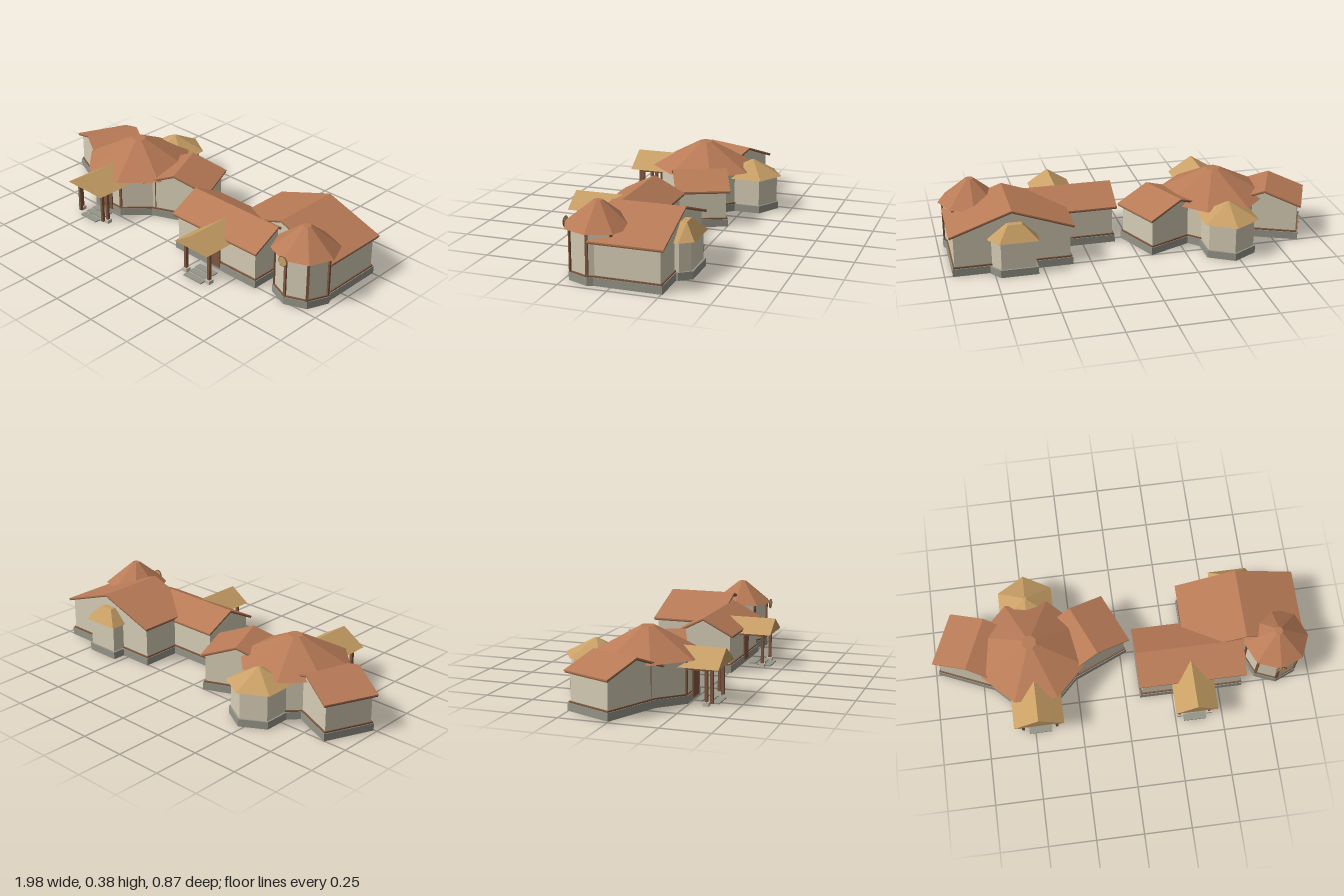
import * as THREE from 'three';
import { ConvexGeometry } from 'three/addons/geometries/ConvexGeometry.js';

const paint = (name, color) => {
  const m = new THREE.MeshStandardMaterial({ color });
  m.name = name;
  return m;
};

export function createModel() {
  const model = new THREE.Group();
  model.name = 'villaCompound';
  const roofMat = paint('terracotta', 0xb97b57);
  const goldMat = paint('goldenThatch', 0xc9a066);
  const wallMat = paint('cream plaster', 0xd6cdb5);
  const woodMat = paint('brown wood', 0x80593f);
  const stoneMat = paint('grey stone', 0x969589);
  const footMat = paint('pale stone', 0xc4beae);

  const BASE = 0.04;

  function add(parent, name, geo, mat, x = 0, y = 0, z = 0) {
    const mesh = new THREE.Mesh(geo, mat);
    mesh.name = name;
    mesh.position.set(x, y, z);
    parent.add(mesh);
    return mesh;
  }
  function box(parent, name, mat, w, y0, y1, d, x, z) {
    return add(parent, name, new THREE.BoxGeometry(w, y1 - y0, d), mat, x, (y0 + y1) / 2, z);
  }
  // Faceted prism or cone; a vertex faces +z when rot is 0
  function prism(parent, name, mat, rBottom, rTop, y0, y1, sides, rot = 0) {
    const indexed = new THREE.CylinderGeometry(rTop, rBottom, y1 - y0, sides, 1, false, rot);
    const geo = indexed.toNonIndexed();
    geo.computeVertexNormals();
    return add(parent, name, geo, mat, 0, (y0 + y1) / 2, 0);
  }
  // Outline in x, y extruded along z and centred
  function extrude(points, length) {
    const shape = new THREE.Shape(points.map(([x, y]) => new THREE.Vector2(x, y)));
    const geo = new THREE.ExtrudeGeometry(shape, { depth: length, bevelEnabled: false });
    return geo.translate(0, 0, -length / 2);
  }
  // Two sloping slabs meeting at a ridge along z
  const chevron = (half, eave, ridge, t, length) => extrude([
    [-half, eave], [-half, eave - t], [0, ridge - t], [half, eave - t], [half, eave], [0, ridge],
  ], length);

  // Gabled wing with its ridge along local z
  function gabledWing(parent, name, o) {
    const g = new THREE.Group();
    g.name = name;
    g.position.set(o.x, 0, o.z);
    g.rotation.y = o.rot;
    parent.add(g);
    const slope = (o.ridge - o.eave) / o.half;
    const w = o.half - 0.022, len = o.length - 0.042;
    const wallTop = o.ridge - slope * w - 0.01;
    add(g, 'walls', extrude([
      [-w, BASE], [w, BASE], [w, wallTop], [0, o.ridge - 0.01], [-w, wallTop],
    ], len), wallMat);
    box(g, 'plinth', stoneMat, 2 * w + 0.022, 0, BASE, len + 0.022, 0, 0);
    box(g, 'plinthTrim', woodMat, 2 * w + 0.014, BASE, BASE + 0.008, len + 0.014, 0, 0);
    add(g, 'roof', chevron(o.half, o.eave, o.ridge, 0.007, o.length), roofMat);
    add(g, 'soffit', chevron(o.half - 0.002, o.eave - 0.006, o.ridge - 0.006, 0.007, o.length - 0.004), woodMat);
    return g;
  }

  // Polygonal room with plinth, optional corner posts and a blunt cone roof
  function polygonRoom(name, o) {
    const g = new THREE.Group();
    g.name = name;
    g.position.set(o.x, 0, o.z);
    model.add(g);
    const rot = o.rot || 0;
    prism(g, 'plinth', stoneMat, o.r + 0.01, o.r + 0.01, 0, BASE, o.sides, rot);
    prism(g, 'walls', wallMat, o.r, o.r, BASE, o.eave + 0.004, o.sides, rot);
    prism(g, 'roof', [o.mat, o.mat, woodMat], o.roofR, o.tip, o.eave, o.top, o.sides, rot);
    if (o.posts) {
      prism(g, 'plinthTrim', woodMat, o.r + 0.006, o.r + 0.006, BASE, BASE + 0.008, o.sides, rot);
      for (let i = 0; i < o.sides; i++) {
        const a = rot + (i / o.sides) * Math.PI * 2;
        const post = box(g, 'cornerPost', woodMat, 0.013, BASE, o.eave, 0.013, Math.sin(a) * o.r, Math.cos(a) * o.r);
        post.rotation.y = a;
      }
    }
    return g;
  }

  // Entrance porch: gabled canopy, posts, door and steps
  function porch(name, o) {
    const g = new THREE.Group();
    g.name = name;
    g.position.x = o.x;
    model.add(g);
    const len = o.front - o.back;
    add(g, 'canopy', extrude([[-o.half, o.eave], [o.half, o.eave], [0, o.ridge]], len),
      goldMat, 0, 0, (o.front + o.back) / 2);
    for (const s of [-1, 1]) {
      for (const [x, z] of o.posts) {
        box(g, 'porchPost', woodMat, 0.015, 0.01, o.eave, 0.015, s * x, z);
      }
      const [fx, fz] = o.posts[0];
      box(g, 'footing', footMat, 0.03, 0, 0.02, 0.03, s * fx, fz);
      box(g, 'sideBeam', woodMat, 0.012, o.eave - 0.014, o.eave, fz + 0.01 - o.wall, s * fx, (fz + 0.01 + o.wall) / 2);
    }
    box(g, 'crossBeam', woodMat, 2 * o.posts[0][0], o.eave - 0.014, o.eave, 0.012, 0, o.posts[0][1]);
    box(g, 'door', woodMat, 0.085, 0.018, o.eave, 0.006, 0, o.wall + 0.015);
    for (let i = 0; i < 3; i++) {
      box(g, 'step', stoneMat, 0.12, 0.004 * i, 0.004 * i + 0.006, 0.036, 0, o.stepFront - 0.018 - i * 0.042);
    }
  }

  // Octagonal hall with its rear bay and two swept-back wings
  const hallX = -0.473;
  polygonRoom('hall', {
    x: hallX, z: 0.003, sides: 8, rot: Math.PI / 8, r: 0.25, roofR: 0.294, tip: 0.038,
    eave: 0.218, top: 0.354, mat: roofMat, posts: true,
  });
  polygonRoom('hallRearBay', {
    x: hallX, z: -0.275, sides: 6, r: 0.139, roofR: 0.165, tip: 0.01,
    eave: 0.188, top: 0.27, mat: goldMat,
  });
  for (const s of [-1, 1]) {
    gabledWing(model, s < 0 ? 'hallRightWing' : 'hallLeftWing', {
      x: hallX + s * 0.288, z: -0.056, rot: s * 0.412,
      half: 0.194, length: 0.293, eave: 0.2, ridge: 0.272,
    });
  }
  porch('hallPorch', {
    x: hallX, half: 0.131, back: 0.1, front: 0.406, eave: 0.185, ridge: 0.268,
    posts: [[0.105, 0.34], [0.09, 0.362]], wall: 0.234, stepFront: 0.39,
  });

  // House: deep block, long front block, corner tower
  gabledWing(model, 'houseMainBlock', {
    x: 0.652, z: -0.078, rot: 0, half: 0.318, length: 0.377, eave: 0.22, ridge: 0.332,
  });
  gabledWing(model, 'houseFrontBlock', {
    x: 0.353, z: 0.11, rot: Math.PI / 2, half: 0.166, length: 0.571, eave: 0.206, ridge: 0.29,
  });
  const tower = polygonRoom('tower', {
    x: 0.815, z: 0.113, sides: 8, r: 0.146, roofR: 0.172, tip: 0.022,
    eave: 0.254, top: 0.375, mat: roofMat, posts: true,
  });
  // Round ornament at the front of the tower eave
  const disc = add(tower, 'eaveDisc', new THREE.CylinderGeometry(0.024, 0.024, 0.008, 20), goldMat, 0, 0.249, 0.171);
  disc.rotation.x = Math.PI / 2;
  add(tower, 'eaveDiscRim', new THREE.TorusGeometry(0.025, 0.003, 6, 24), woodMat, 0, 0.249, 0.171);

  porch('housePorch', {
    x: 0.353, half: 0.111, back: 0.16, front: 0.434, eave: 0.184, ridge: 0.257,
    posts: [[0.08, 0.385]], wall: 0.254, stepFront: 0.425,
  });

  // Rear bay of the house with a hipped roof
  const bay = new THREE.Group();
  bay.name = 'houseRearBay';
  model.add(bay);
  const plan = (inset) => [
    [0.526 + inset, -0.335 + inset], [0.73 - inset * 0.5, -0.335 + inset],
    [0.777 - inset, -0.267], [0.777 - inset, -0.2], [0.526 + inset, -0.2],
  ];
  const hull = (points, y0, y1) => new ConvexGeometry(points.flatMap(([x, z]) => [
    new THREE.Vector3(x, y0, z), new THREE.Vector3(x, y1, z),
  ]));
  add(bay, 'plinth', hull(plan(0.008), 0, BASE), stoneMat);
  add(bay, 'walls', hull(plan(0.018), BASE, 0.19), wallMat);
  const hip = plan(0).map(([x, z]) => new THREE.Vector3(x, 0.186, z));
  for (const x of [0.602, 0.677]) {
    for (const z of [-0.278, -0.2]) hip.push(new THREE.Vector3(x, 0.262, z));
  }
  add(bay, 'roof', new ConvexGeometry(hip), goldMat);

  return model;
}
